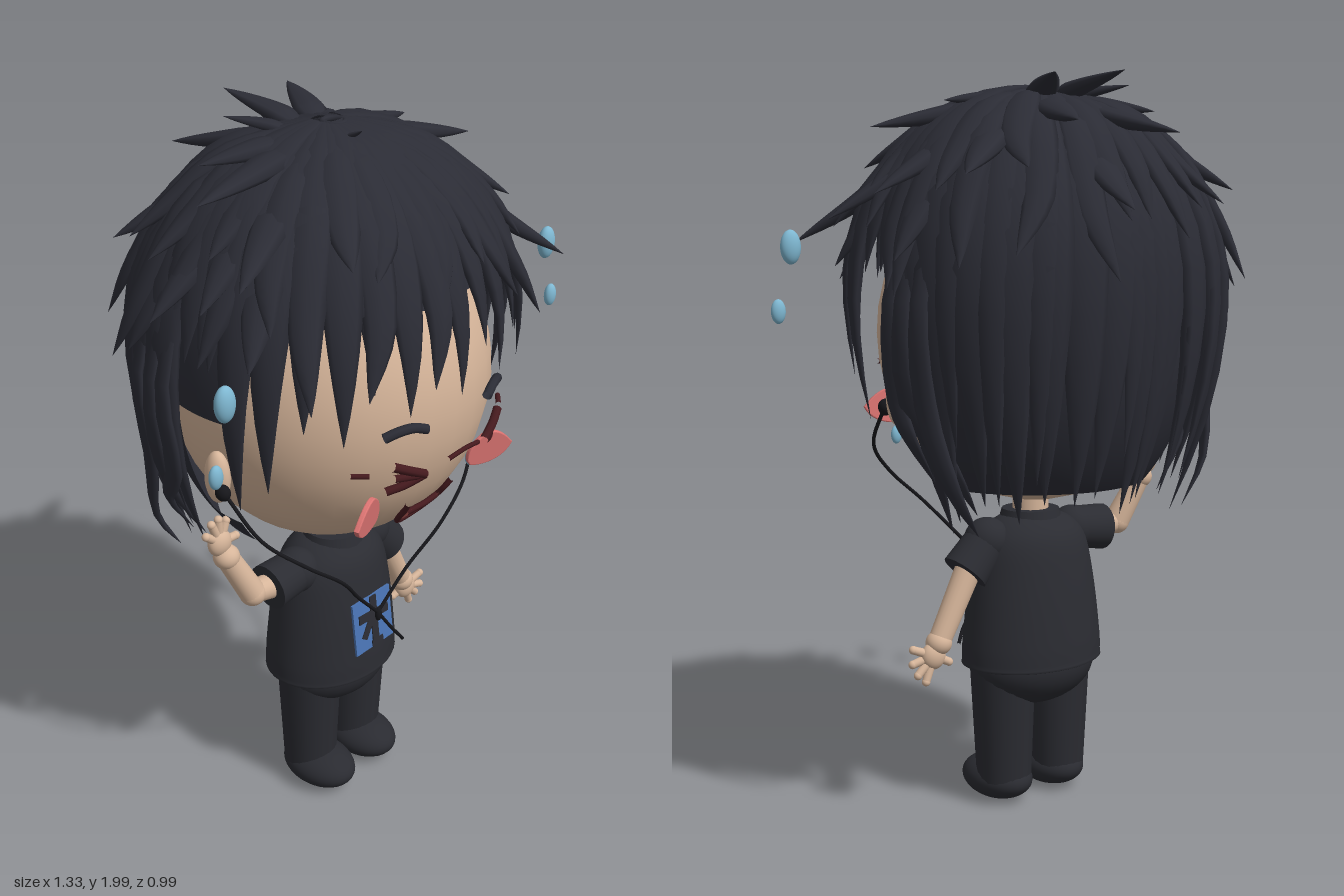
import * as THREE from 'three';

const mat = (name, color, side = THREE.FrontSide) => {
  const m = new THREE.MeshStandardMaterial({ color, side });
  m.name = name;
  return m;
};
const V = (x, y, z) => new THREE.Vector3(x, y, z);

export function createModel() {
  const root = new THREE.Group();
  root.name = 'chibiFigure';
  const M = {
    skin: mat('skin', 0xd6b59a), hair: mat('hair', 0x2b2c35, THREE.DoubleSide),
    shirt: mat('shirt', 0x2b2c32), pants: mat('pants', 0x2a2b31), black: mat('cable', 0x17171b),
    blue: mat('printBlue', 0x4a74b4), drop: mat('sweat', 0x7fb8d2), cheek: mat('cheek', 0xdc7472),
    maroon: mat('maroon', 0x451a1e), tongue: mat('tongue', 0xc4625c),
  };
  const add = (name, geo, m, parent = root) => {
    const mesh = new THREE.Mesh(geo, m);
    mesh.name = name;
    parent.add(mesh);
    return mesh;
  };
  const group = (name) => {
    const g = new THREE.Group();
    g.name = name;
    root.add(g);
    return g;
  };
  const ball = (name, p, r, m, parent = root) => {
    const b = add(name, new THREE.SphereGeometry(1, 32, 20), m, parent);
    b.position.set(...p);
    b.scale.set(...r);
  };
  // tapered cylinder between two points
  const limb = (name, a, b, ra, rb, m, parent = root) => {
    const A = V(...a), d = V(...b).sub(A);
    const c = add(name, new THREE.CylinderGeometry(rb, ra, d.length(), 20), m, parent);
    c.position.copy(A).addScaledVector(d, 0.5);
    c.quaternion.setFromUnitVectors(V(0, 1, 0), d.normalize());
  };
  const tube = (name, pts, r, m, parent = root) => add(name,
    new THREE.TubeGeometry(new THREE.CatmullRomCurve3(pts), pts.length * 6, r, 8), m, parent);
  const lathe = (name, pts, sz, z, m) => {
    const curve = new THREE.SplineCurve(pts.map((p) => new THREE.Vector2(...p)));
    const l = add(name, new THREE.LatheGeometry(curve.getPoints(32), 40), m);
    l.scale.z = sz;
    l.position.z = z;
  };
  let seed = 7;
  const rnd = (a, b) => {
    seed = (seed * 16807) % 2147483647;
    return a + (b - a) * seed / 2147483647;
  };

  // Head, ears, neck
  ball('head', [0, 1.32, 0.03], [0.43, 0.46, 0.425], M.skin);
  limb('neck', [0, 0.78, 0.05], [0, 0.9, 0.05], 0.05, 0.05, M.skin);
  for (const s of [-1, 1]) {
    ball('ear', [s * 0.43, 1.165, 0.05], [0.03, 0.072, 0.036], M.skin);
    ball('earbud', [s * 0.447, 1.14, 0.085], [0.018, 0.022, 0.022], M.black);
  }

  // Face details, projected onto the front of the head
  const face = (x, y, off) => V(x, y,
    0.03 + off + 0.425 * Math.sqrt(1 - (x / 0.43) ** 2 - ((y - 1.32) / 0.46) ** 2));
  const stroke = (name, pts, r, m, off) => tube(name, pts.map(([x, y]) => face(x, y, off)), r, m);
  // leaf-shaped cheek whose outer edge stands proud of the face
  const cheekShape = (s) => {
    const c = new THREE.Shape();
    c.moveTo(s * 0.07, 0.004);
    c.bezierCurveTo(s * 0.03, 0.05, s * -0.01, 0.06, s * -0.03, 0.04);
    c.bezierCurveTo(s * -0.06, 0.02, s * -0.075, -0.02, s * -0.055, -0.038);
    c.bezierCurveTo(s * -0.02, -0.05, s * 0.05, -0.045, s * 0.07, 0.004);
    return c;
  };
  for (const s of [-1, 1]) {
    stroke('eyeUpper', [[s * 0.21, 1.245], [s * 0.17, 1.225], [s * 0.12, 1.2]], 0.012, M.maroon, 0.035);
    stroke('eyeLower', [[s * 0.21, 1.168], [s * 0.17, 1.18], [s * 0.12, 1.2]], 0.011, M.maroon, 0.035);
    stroke('eyeCrease', [[s * 0.2, 1.207], [s * 0.13, 1.2]], 0.01, M.maroon, 0.035);
    stroke('eyeDash', [[s * 0.295, 1.232], [s * 0.26, 1.228]], 0.007, M.maroon, 0.04);
    stroke('eyebrow', [[s * 0.225, 1.322], [s * 0.19, 1.334], [s * 0.155, 1.336], [s * 0.12, 1.324]], 0.013, M.hair, 0.02);
    const cheek = add('cheek', new THREE.ExtrudeGeometry(cheekShape(s),
      { depth: 0.008, bevelSize: 0.003, bevelThickness: 0.003, bevelSegments: 2 }), M.cheek);
    cheek.position.set(s * 0.248, 1.1, 0.38);
    cheek.rotation.set(0.12, -s * 0.32, 0);
  }
  stroke('noseWrinkle', [[-0.06, 1.226], [0, 1.235], [0.06, 1.226]], 0.006, M.maroon, 0.04);
  const U = (k, y0, n = 12) => Array.from({ length: n + 1 }, (_, i) => {
    const a = Math.PI * (1 + i / n);
    return [0.08 * k * Math.cos(a), y0 + 0.085 * k * Math.sin(a)];
  });
  stroke('mouthOutline', [[-0.088, 1.07], ...U(1, 1.045), [0.088, 1.07]], 0.008, M.maroon, 0.008);
  stroke('upperLip', [[-0.06, 1.022], [0, 1.028], [0.06, 1.022]], 0.008, M.maroon, 0.008);
  const mouth = new THREE.ShapeGeometry(new THREE.Shape(U(0.85, 1.03).map((p) => new THREE.Vector2(...p))));
  const mp = mouth.attributes.position;
  for (let i = 0; i < mp.count; i++) mp.setZ(i, face(mp.getX(i), mp.getY(i), 0.011).z);
  mouth.computeVertexNormals();
  add('tongue', mouth, M.tongue);

  // Sweat drops
  for (const [x, y, z, r] of [[-0.615, 1.515, 0.28, 0.028], [-0.65, 1.345, 0.28, 0.019],
    [0.605, 1.55, 0.28, 0.028], [0.645, 1.385, 0.28, 0.02], [0.275, 1.03, 0.305, 0.016]])
    ball('sweatDrop', [x, y, z], [r, r * 1.6, r * 0.75], M.drop);

  // Hair cap: crown, temples and nape, stepped around the face
  const hair = group('hair');
  const cap = (name, y0, y1, zEdge) => {
    const th = (y) => Math.acos((y - 1.35) / 0.58);
    const d = zEdge === null ? Math.PI / 2 : Math.asin((zEdge - 0.02) / 0.38);
    const c = add(name, new THREE.SphereGeometry(1, 48, 16, Math.PI - d, Math.PI + 2 * d, th(y1), th(y0) - th(y1)), M.hair, hair);
    c.scale.set(0.45, 0.58, 0.43);
    c.position.set(0, 1.35, 0.02);
  };
  cap('crownCap', 1.6, 1.93, null);
  cap('templeCap', 1.33, 1.6, 0.09);
  cap('backCap', 0.92, 1.33, -0.06);
  cap('napeBand', 0.92, 1.0, 0.06);

  // Outer hair surface: s runs 0 at the crown to 1 at the widest level, then down;
  // seen from above it is an oval with fuller corners
  const shell = (a, s, k = 1) => {
    const q = Math.min(s, 1) * Math.PI / 2, d = Math.max(s - 1, 0);
    const r = Math.sin(q) * (1 - 0.75 * d * d) * k * (1 + 0.07 * Math.sin(2 * a) ** 2);
    return V(0.49 * r * Math.sin(a), 1.42 + 0.535 * Math.cos(q) * k - d, 0.02 + 0.44 * r * Math.cos(a));
  };
  // A lock is a flattened tube swept along a curve and tapering to a point
  const lock = (name, pts, w, flat = 0.4) => {
    const curve = new THREE.CatmullRomCurve3(pts), n = 12, m = 8, pos = [], idx = [];
    for (let i = 0; i <= n; i++) {
      const t = i / n, p = curve.getPoint(t), T = curve.getTangent(t);
      const N = p.clone().sub(V(0, Math.min(p.y, 1.4), 0.02)).normalize();
      const S = T.clone().cross(N).normalize();
      N.crossVectors(S, T).normalize();
      const h = w * Math.min(1, 0.3 + 1.5 * t) * (1 - t ** 3) + 0.0005;
      for (let j = 0; j < m; j++) {
        const b = j / m * Math.PI * 2;
        const v = p.clone().addScaledVector(S, h * Math.cos(b)).addScaledVector(N, -h * flat * Math.sin(b));
        pos.push(v.x, v.y, v.z);
        if (i < n) {
          const k = (j + 1) % m, A = i * m + j, B = i * m + k;
          idx.push(A, B, A + m, B, B + m, A + m);
        }
      }
    }
    const g = new THREE.BufferGeometry();
    g.setAttribute('position', new THREE.Float32BufferAttribute(pos, 3));
    g.setIndex(idx);
    g.computeVertexNormals();
    add(name, g, M.hair, hair);
  };
  const hang = (name, a, tipY, w, k, sway) => {
    const end = 1 + 1.42 - tipY;
    lock(name, Array.from({ length: 8 }, (_, i) => {
      const t = i / 7;
      return shell(a + sway * t * t, 0.05 + (end - 0.05) * t, k);
    }), w);
  };
  const rad = Math.PI / 180;
  // Long back and side locks, in two layers
  for (let i = 0; i <= 14; i++) hang('backLock', (104 + i * 10.86) * rad, rnd(0.82, 0.94), 0.085, 0.99, rnd(-0.06, 0.06));
  for (let i = 0; i <= 11; i++) hang('backOverLock', (107 + i * 13.27) * rad, rnd(0.88, 1.08), 0.06, 1.01, rnd(-0.08, 0.08));
  // Wispy locks behind each ear, curling in under the jaw
  for (const s of [-1, 1]) {
    for (const [a, x, y, z] of [[98, 0.4, 0.95, -0.08], [104, 0.31, 0.87, -0.13], [111, 0.35, 0.83, -0.19]])
      lock('sideWisp', [shell(s * a * rad, 0.6, 1.02), shell(s * a * rad, 1, 1.05), shell(s * a * rad, 1.25, 1.06),
        V(s * (x + 0.08), y + 0.13, z), V(s * x, y, z)], 0.04);
  }
  // Fringe, longest at the temples
  const fringe = [1.37, 1.48, 1.36, 1.46, 1.34, 1.38, 1.2, 1.12];
  for (let i = -7; i <= 7; i++)
    hang('fringeLock', i * 10 * rad, fringe[Math.abs(i)] + rnd(-0.02, 0.02), 0.062, 1.02, rnd(-0.05, 0.05));
  // Short locks covering each temple
  for (const s of [-1, 1]) for (const a of [80, 90, 99])
    hang('templeLock', s * a * rad, 1.5, 0.075, 1.02, 0);
  // Short upper locks flaring out all round
  for (let i = 0; i < 34; i++) {
    const a = (i * 10.6 + rnd(-4, 4)) * rad, s = rnd(0.62, 1), k = rnd(1.05, 1.1) + 0.06 * Math.abs(Math.sin(a));
    lock('flareLock', [shell(a, 0.06), shell(a, s * 0.45, 1.02), shell(a, s * 0.8, 1.04), shell(a + rnd(-0.1, 0.1), s, k)], 0.055, 0.5);
  }
  // Long spikes with set tips
  for (const [x, y, z] of [[-0.5, 1.89, 0.09], [-0.53, 1.74, 0.25], [-0.56, 1.6, -0.02], [0.47, 1.85, 0.1],
    [0.58, 1.62, 0.13], [0.54, 1.56, 0.38], [0.48, 1.72, -0.33], [0.11, 1.64, -0.5], [-0.07, 1.83, -0.46],
    [0.22, 1.85, -0.42], [-0.42, 1.7, -0.3], [0.17, 1.975, -0.27], [-0.03, 1.99, -0.3], [-0.04, 1.975, 0.17],
    [-0.53, 1.55, 0.27], [0.51, 1.5, 0.22], [0.56, 1.68, -0.06], [-0.52, 1.52, 0.1], [-0.53, 1.65, 0.12],
    [-0.52, 1.48, -0.15], [0.55, 1.52, -0.13], [-0.36, 1.92, -0.05], [0.3, 1.92, 0.02], [-0.16, 1.97, -0.17]]) {
    const tip = V(x, y, z), a = Math.atan2(x, z - 0.02);
    const s = Math.acos(Math.min(1, (y - 1.42) / 0.6)) / (Math.PI / 2);
    const from = shell(a, Math.max(0.1, s - 0.5), 0.97);
    const mid = from.clone().lerp(tip, 0.5).lerp(shell(a, Math.max(0.15, s - 0.15), 1.02), 0.6);
    lock('spikeLock', [from, mid, tip], Math.min(0.055, from.distanceTo(tip) * 0.18), 0.5);
  }
  const whorl = add('crownWhorl', new THREE.TorusGeometry(0.028, 0.008, 8, 24), M.hair, hair);
  whorl.rotation.x = Math.PI / 2;
  whorl.position.set(0, 1.965, 0.045);

  // Shirt, hips, legs and shoes
  lathe('shirt', [[0.001, 0.4], [0.19, 0.4], [0.21, 0.42], [0.203, 0.52], [0.187, 0.64], [0.165, 0.74], [0.13, 0.79], [0.08, 0.815], [0.001, 0.82]], 0.79, 0.045, M.shirt);
  limb('collar', [0, 0.795, 0.05], [0, 0.83, 0.05], 0.09, 0.08, M.shirt);
  ball('hips', [0, 0.4, 0.045], [0.19, 0.125, 0.152], M.pants);
  for (const s of [-1, 1]) {
    limb('leg', [s * 0.095, 0.07, 0.05], [s * 0.098, 0.4, 0.05], 0.077, 0.092, M.pants);
    ball('shoe', [s * 0.093, 0.063, 0.085], [0.087, 0.06, 0.12], M.pants);
  }

  // Arms: lowered left, raised right
  const arm = (name, sleeve, joints, fingers) => {
    const g = group(name);
    ball('shoulder', sleeve[0], [0.064, 0.064, 0.064], M.shirt, g);
    limb('sleeve', ...sleeve, 0.06, 0.066, M.shirt, g);
    for (let i = 0; i < joints.length - 1; i++) {
      limb('forearm', joints[i], joints[i + 1], 0.037, 0.031, M.skin, g);
      ball('joint', joints[i], [0.037, 0.037, 0.037], M.skin, g);
    }
    ball('wrist', joints[joints.length - 1], [0.036, 0.034, 0.036], M.skin, g);
    const palm = fingers[0];
    ball('palm', palm, [0.036, 0.038, 0.026], M.skin, g);
    for (const f of fingers.slice(1)) {
      limb('finger', palm, f, 0.013, 0.011, M.skin, g);
      ball('fingertip', f, [0.0115, 0.0115, 0.0115], M.skin, g);
    }
  };
  arm('leftArm', [[0.15, 0.755, 0.05], [0.225, 0.675, 0.05]], [[0.21, 0.69, 0.05], [0.312, 0.495, 0.05]],
    [[0.33, 0.462, 0.05], [0.388, 0.485, 0.06], [0.39, 0.445, 0.06], [0.38, 0.415, 0.05], [0.358, 0.395, 0.045], [0.287, 0.44, 0.04]]);
  arm('rightArm', [[-0.15, 0.755, 0.05], [-0.255, 0.745, 0.045]], [[-0.23, 0.745, 0.045], [-0.31, 0.755, 0.04], [-0.372, 0.885, 0.01]],
    [[-0.385, 0.93, 0], [-0.432, 0.968, 0], [-0.412, 0.995, 0], [-0.387, 1.0, 0], [-0.36, 0.987, 0], [-0.337, 0.935, 0.01]]);

  // Earphone cable
  const cable = group('earphones');
  const join = V(0, 0.615, 0.22);
  for (const s of [-1, 1]) tube('cableBranch', [V(s * 0.447, 1.14, 0.09), V(s * 0.42, 1.03, 0.19), V(s * 0.33, 0.94, 0.255),
    V(s * 0.21, 0.84, 0.27), V(s * 0.1, 0.72, 0.235), join], 0.005, M.black, cable);
  tube('cableTail', [join, V(0.06, 0.53, 0.225), V(0.11, 0.47, 0.22), V(0.15, 0.43, 0.19)], 0.005, M.black, cable);
  ball('cableJoint', [0, 0.61, 0.222], [0.01, 0.022, 0.01], M.black, cable);

  // Shirt print: blue panel with a dark abstract figure
  const plate = (name, x, y, w, h, z, m, turn = 0) => {
    const b = add(name, new THREE.BoxGeometry(w, h, 0.007), m);
    b.position.set(x, y, z + (0.58 - y) * 0.13);
    b.rotation.set(-0.13, 0, turn);
  };
  plate('printPanel', -0.002, 0.58, 0.155, 0.16, 0.202, M.blue);
  plate('printTrunk', 0.002, 0.58, 0.026, 0.158, 0.205, M.shirt);
  plate('printBar', 0, 0.602, 0.12, 0.026, 0.2055, M.shirt, -0.06);
  plate('printBranch', -0.028, 0.565, 0.022, 0.06, 0.205, M.shirt, -0.6);
  plate('printFoot', 0.008, 0.512, 0.045, 0.018, 0.205, M.shirt);
  return root;
}
